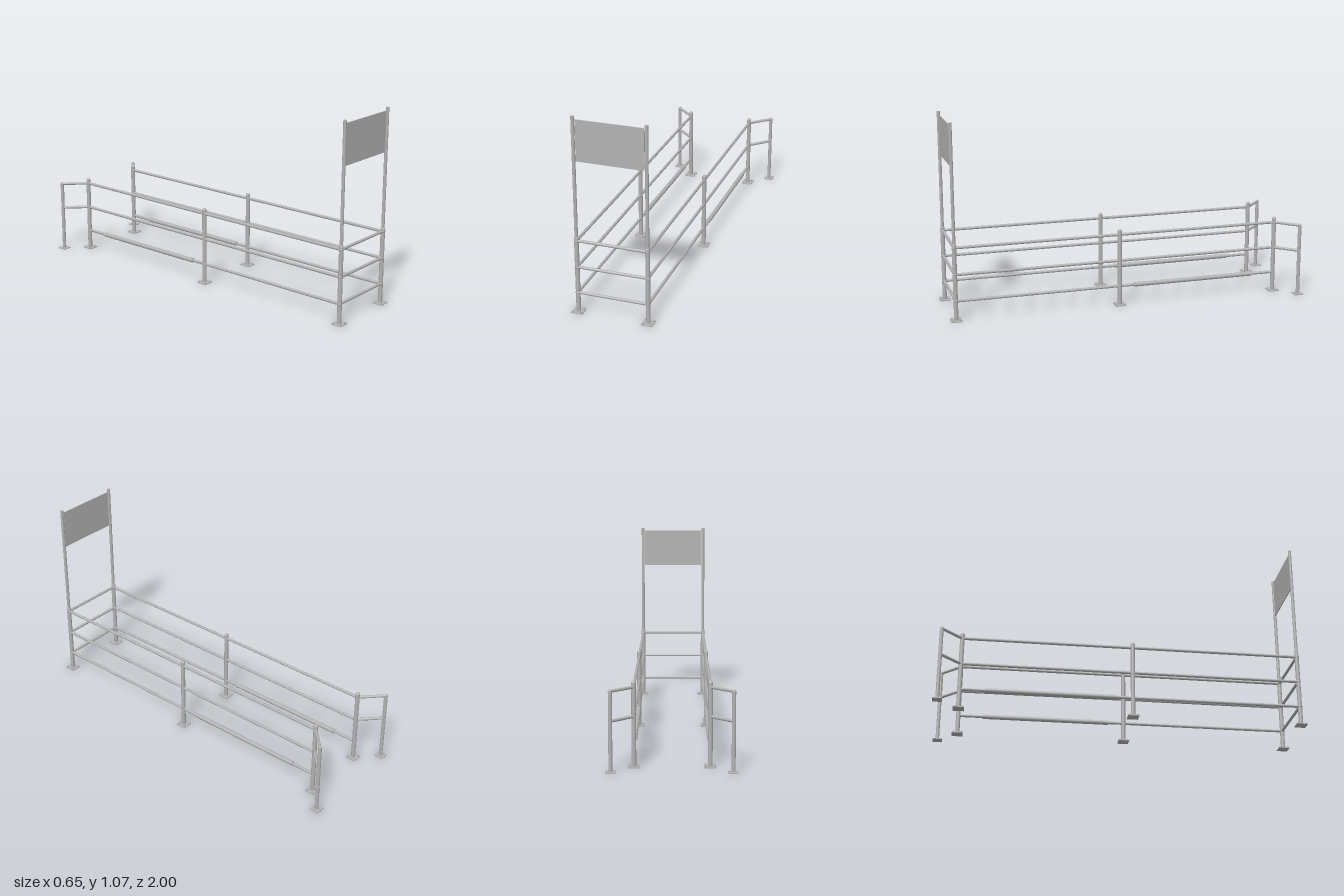
import * as THREE from 'three';

const steel = new THREE.MeshStandardMaterial({ color: 0xb2b2b2 });
steel.name = 'galvanised steel';

const X = 0.19, FRONT = 0.97, MID = 0.055, BACK = -0.865;
const WING_X = 0.301, WING_Z = -0.974;
const RAILS = [0.111, 0.257, 0.405];

function add(parent, name, geometry, x = 0, y = 0, z = 0) {
  const mesh = new THREE.Mesh(geometry, steel);
  mesh.name = name;
  mesh.position.set(x, y, z);
  parent.add(mesh);
  return mesh;
}

// Straight tube between two points
function tube(parent, name, a, b, r) {
  const p = new THREE.Vector3(...a), q = new THREE.Vector3(...b);
  const dir = q.clone().sub(p);
  const mesh = add(parent, name, new THREE.CylinderGeometry(r, r, dir.length(), 16));
  mesh.position.copy(p).lerp(q, 0.5);
  mesh.quaternion.setFromUnitVectors(new THREE.Vector3(0, 1, 0), dir.normalize());
}

// Square foot plate with optional anchor bolts
function foot(parent, x, z, size, bolts) {
  add(parent, 'footPlate', new THREE.BoxGeometry(size, 0.005, size), x, 0.0025, z);
  if (!bolts) return;
  for (const i of [-1, 1]) for (const j of [-1, 1])
    add(parent, 'anchorBolt', new THREE.CylinderGeometry(0.004, 0.004, 0.006, 6),
      x + i * 0.021, 0.008, z + j * 0.021);
}

// Upright with a rounded cap
function post(parent, x, z, top) {
  const r = 0.012;
  tube(parent, 'post', [x, 0.004, z], [x, top - r, z], r);
  add(parent, 'postCap', new THREE.SphereGeometry(r, 16, 8, 0, Math.PI * 2, 0, Math.PI / 2), x, top - r, z);
  foot(parent, x, z, 0.06, true);
}

export function createModel() {
  const model = new THREE.Group();
  model.name = 'cartCorral';

  for (const s of [1, -1]) {
    const side = new THREE.Group();
    side.name = s > 0 ? 'leftSide' : 'rightSide';
    model.add(side);
    const x = s * X, wx = s * WING_X;

    // Main uprights and the tall sign pole
    post(side, x, FRONT, 0.43);
    post(side, x, MID, 0.437);
    post(side, x, BACK, 0.437);
    tube(side, 'signPole', [x, 0.41, FRONT], [x, 1.074, FRONT], 0.009);

    // Long rails, with collars at the front corner
    for (const y of RAILS) {
      tube(side, 'sideRail', [x, y, FRONT], [x, y, BACK], 0.008);
      add(side, 'railJoint', new THREE.SphereGeometry(0.0135, 16, 10), x, y, FRONT);
    }
    tube(side, 'bumperSleeve', [x, RAILS[0], -0.03], [x, RAILS[0], -0.73], 0.0125);

    // Flared entry wing
    tube(side, 'wingPost', [wx, 0.004, WING_Z], [wx, RAILS[2], WING_Z], 0.01);
    add(side, 'wingElbow', new THREE.SphereGeometry(0.01, 16, 10), wx, RAILS[2], WING_Z);
    foot(side, wx, WING_Z, 0.052, false);
    for (const y of RAILS.slice(1))
      tube(side, 'wingRail', [x, y, BACK], [wx, y, WING_Z], 0.008);
  }

  // Closed front end
  for (const y of RAILS) tube(model, 'frontRail', [-X, y, FRONT], [X, y, FRONT], 0.008);
  add(model, 'signPanel', new THREE.BoxGeometry(0.356, 0.219, 0.005), 0, 0.948, FRONT);

  return model;
}
